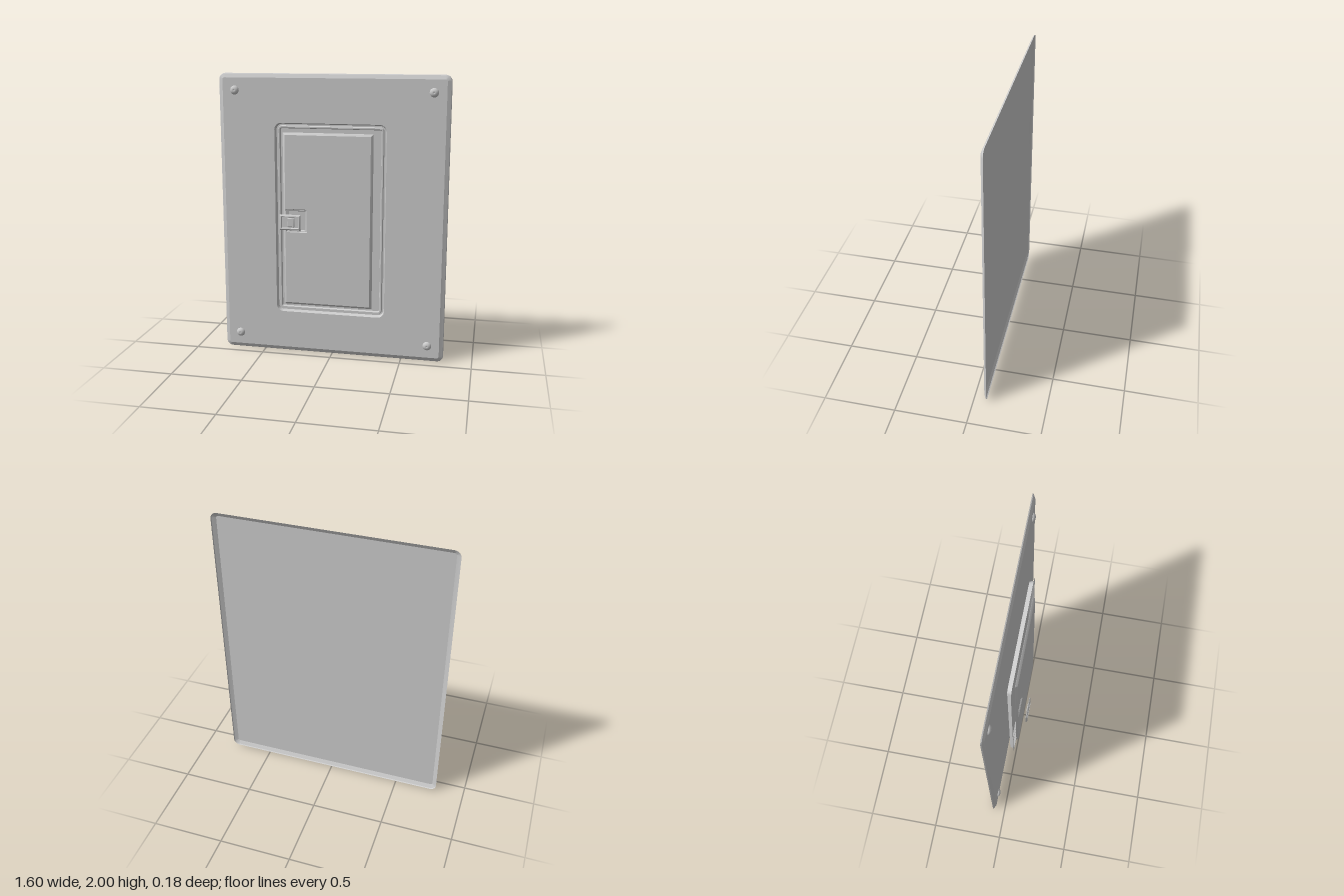
import * as THREE from 'three';
import { toCreasedNormals } from 'three/addons/utils/BufferGeometryUtils.js';

const material = new THREE.MeshStandardMaterial({ color: 0xcccccc, side: THREE.DoubleSide });

// Points of a rounded rectangle, counter-clockwise, centred on the origin
function roundedRect(w, h, r, segs = 6) {
  const pts = [];
  [[1, 1], [-1, 1], [-1, -1], [1, -1]].forEach(([sx, sy], q) => {
    for (let i = 0; i <= segs; i++) {
      const a = (q + i / segs) * Math.PI / 2;
      pts.push([sx * (w / 2 - r) + r * Math.cos(a), sy * (h / 2 - r) + r * Math.sin(a)]);
    }
  });
  return pts;
}

// Pressed sheet: steps are [inset, z]; each ring is the outline moved inwards
function pressed(w, h, r, steps, cap = true) {
  const pos = [], index = [];
  const n = roundedRect(w, h, r).length;
  for (const [d, z] of steps) {
    const ring = roundedRect(w - 2 * d, h - 2 * d, Math.max(r - d, 0.002));
    for (const [x, y] of ring) pos.push(x, y, z);
  }
  for (let s = 0; s < steps.length - 1; s++) {
    for (let i = 0; i < n; i++) {
      const a = s * n + i, b = s * n + (i + 1) % n;
      index.push(a, b, b + n, a, b + n, a + n);
    }
  }
  if (cap) {
    const last = (steps.length - 1) * n;
    pos.push(0, 0, steps[steps.length - 1][1]);
    for (let i = 0; i < n; i++) index.push(last + i, last + (i + 1) % n, steps.length * n);
  }
  const geo = new THREE.BufferGeometry();
  geo.setAttribute('position', new THREE.Float32BufferAttribute(pos, 3));
  geo.setIndex(index);
  return toCreasedNormals(geo, 0.3);
}

export function createModel() {
  const group = new THREE.Group();
  const add = (name, geo, x = 0, y = 1, z = 0) => {
    const mesh = new THREE.Mesh(geo, material);
    mesh.name = name;
    mesh.position.set(x, y, z);
    group.add(mesh);
    return mesh;
  };

  // Cover plate: bevelled sheet, open at the back
  add('coverPlate', pressed(1.6, 2, 0.045, [[0, -0.088], [0.004, -0.081], [0.03, -0.068]]));

  // Domed corner screws with a small centre dimple
  const dome = [[0, -0.004], [0.006, 0], [0.013, -0.001], [0.022, -0.005], [0.029, -0.012], [0.031, -0.018]]
    .reverse().map(([x, y]) => new THREE.Vector2(x, y));
  for (const x of [-0.685, 0.685]) {
    for (const y of [0.117, 1.884]) {
      add('cornerScrew', new THREE.LatheGeometry(dome, 20), x, y, -0.05).rotation.x = Math.PI / 2;
    }
  }

  // Door frame: flange, sloping wall, raised bead and floor
  add('doorFrame', pressed(0.806, 1.38, 0.065, [
    [0, 0], [0.017, 0], [0.026, -0.028], [0.036, -0.028],
    [0.041, -0.014], [0.05, -0.014], [0.056, -0.028],
  ]));

  // Hinges along the door's left edge
  for (const y of [0.64, 1.355]) {
    add('hinge', new THREE.BoxGeometry(0.008, 0.1, 0.006), 0.354, y, 0.002);
  }

  // Door: bevelled rim, and a face with an opening for the latch pocket
  const doorX = -0.013;
  add('doorRim', pressed(0.625, 1.22, 0.004, [[0, 0.008], [0.003, 0.012], [0.016, 0.024]], false), doorX);
  const pocket = { x: -0.231, w: 0.15, h: 0.165 };
  const toVectors = (pts, dx = 0) => pts.map(([x, y]) => new THREE.Vector2(x + dx, y));
  const face = new THREE.Shape(toVectors(roundedRect(0.593, 1.188, 0.002)));
  face.holes.push(new THREE.Path(toVectors(roundedRect(pocket.w, pocket.h, 0.003), pocket.x - doorX)));
  add('doorFace', new THREE.ShapeGeometry(face), doorX, 1, 0.024);
  add('latchPocket', pressed(pocket.w, pocket.h, 0.003, [
    [0, 0.024], [0.005, 0.019], [0.01, 0.019], [0.016, 0.01],
  ]), pocket.x);

  // Latch: bevelled pad with a shallow dish and a finger button
  const latchX = -0.262;
  add('latch', pressed(0.15, 0.11, 0.004, [
    [0, 0.077], [0.003, 0.082], [0.01, 0.088], [0.014, 0.088], [0.018, 0.079],
  ]), latchX);
  add('latchButton', pressed(0.05, 0.062, 0.003, [[0, 0.073], [0, 0.083], [0.004, 0.086]]), -0.255);

  return group;
}
